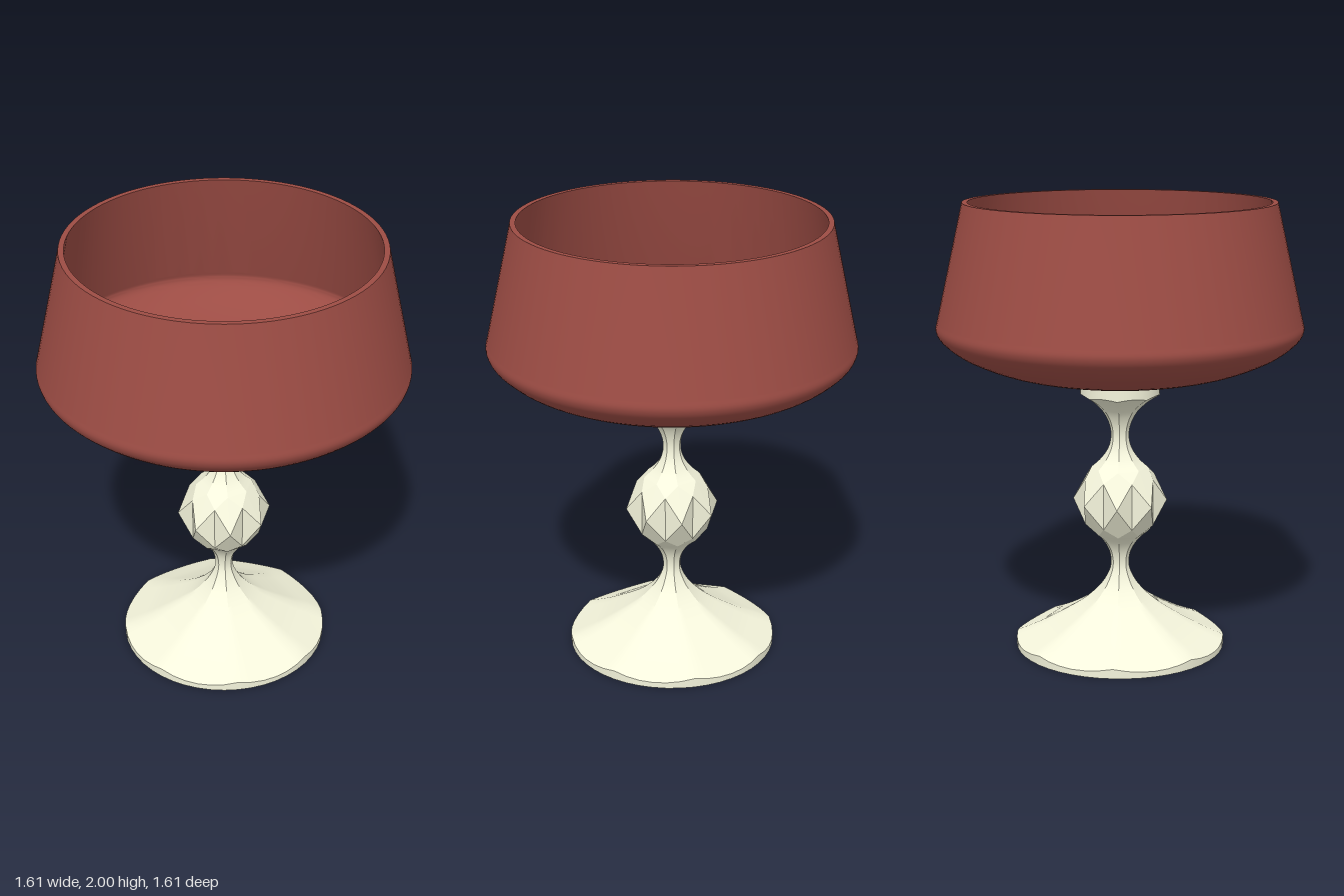
import * as THREE from 'three';
import { toCreasedNormals } from 'three/addons/utils/BufferGeometryUtils.js';

const SIDES = 8, SUB = 6, STEP = (Math.PI * 2) / SIDES;
const APOTHEM = Math.cos(STEP / 2);

const spline = (pts, n) =>
  new THREE.SplineCurve(pts.map(([r, y]) => new THREE.Vector2(r, y))).getPoints(n);

// Ring types: each maps c (cosine of the angle from the facet middle) to [radius, height]
const octagon = (R, y) => (c) => [(R * APOTHEM) / c, y];
const circle = (R, y) => () => [R, y];
// Where a round edge of radius R cuts the octagonal flare, giving the scalloped line
const scallop = (R, y, slope) => (c) => [R, y + slope * ((R * c) / APOTHEM - R)];

// Skin over rings listed from bottom to top
function skin(rings) {
  const n = SIDES * SUB, pos = [], idx = [];
  rings.forEach((ring, j) => {
    for (let i = 0; i < n; i++) {
      const a = (i / SUB) * STEP;
      const [r, y] = ring(Math.cos(((i % SUB) / SUB - 0.5) * STEP));
      pos.push(r * Math.sin(a), y, r * Math.cos(a));
      if (j === 0) continue;
      const k = (i + 1) % n, lo = (j - 1) * n, hi = j * n;
      idx.push(lo + i, lo + k, hi + k, lo + i, hi + k, hi + i);
    }
  });
  const g = new THREE.BufferGeometry();
  g.setAttribute('position', new THREE.Float32BufferAttribute(pos, 3));
  g.setIndex(idx);
  return toCreasedNormals(g, 0.5);
}

// Cut knop: flat kites above and below, with notched diamonds between them
function knopGeometry() {
  const pos = [], mid = 0.674;
  const at = (r, y, turn) => [r * Math.sin(turn * STEP), y, r * Math.cos(turn * STEP)];
  const tri = (flip, a, b, c) => pos.push(...a, ...(flip ? c : b), ...(flip ? b : c));
  for (let i = 0; i < SIDES; i++) {
    const wide = at(0.21, mid, i), wideNext = at(0.21, mid, i + 1);
    const low = at(0.163, mid - 0.104, i + 0.5), high = at(0.163, mid + 0.104, i + 0.5);
    tri(false, low, wideNext, high);
    tri(false, low, high, wide);
    for (const s of [1, -1]) {
      const end = at(0.126, mid + s * 0.149, i), endNext = at(0.126, mid + s * 0.149, i + 1);
      const v = at(0.163, mid + s * 0.104, i + 0.5), vPrev = at(0.163, mid + s * 0.104, i - 0.5);
      tri(s < 0, wide, v, end);
      tri(s < 0, wide, end, vPrev);
      tri(s < 0, end, v, endNext);
    }
  }
  const g = new THREE.BufferGeometry();
  g.setAttribute('position', new THREE.Float32BufferAttribute(pos, 3));
  g.computeVertexNormals();
  return g;
}

export function createModel() {
  const group = new THREE.Group();
  const cream = new THREE.MeshStandardMaterial({ color: 0xf5f5dc });
  const red = new THREE.MeshStandardMaterial({ color: 0x9c4c44 });
  const add = (name, geometry, material) => {
    const mesh = new THREE.Mesh(geometry, material);
    mesh.name = name;
    group.add(mesh);
  };

  // Round foot sweeping up into the lower octagonal neck
  const lower = spline([[0.42, 0.064], [0.33, 0.106], [0.175, 0.195], [0.09, 0.27], [0.05, 0.335],
    [0.04, 0.385], [0.052, 0.44], [0.085, 0.49], [0.126, 0.525]], 28);
  add('footAndLowerStem', skin([
    circle(0, 0), circle(0.47, 0), scallop(0.47, 0.043, -0.45),
    ...lower.map((p) => octagon(p.x, p.y)),
  ]), cream);

  add('knop', knopGeometry(), cream);

  // Upper octagonal neck flaring into the round collar, whose top shows in the bowl
  const upper = spline([[0.126, 0.823], [0.085, 0.86], [0.052, 0.91], [0.04, 0.965],
    [0.049, 1.02], [0.078, 1.075], [0.12, 1.115], [0.16, 1.142]], 24);
  add('upperStemAndCollar', skin([
    ...upper.map((p) => octagon(p.x, p.y)),
    scallop(0.176, 1.151, 0.6), circle(0.176, 1.25), circle(0, 1.25),
  ]), cream);

  // Bowl: curved underside, inward-leaning wall, flat rim and hollow inside
  const outer = spline([[0, 1.215], [0.18, 1.22], [0.36, 1.24], [0.54, 1.28], [0.69, 1.342],
    [0.775, 1.405], [0.802, 1.45], [0.796, 1.49]], 32);
  const inner = spline([[0.773, 1.485], [0.778, 1.455], [0.755, 1.42], [0.675, 1.362],
    [0.53, 1.304], [0.355, 1.264], [0.18, 1.245], [0, 1.24]], 32);
  const profile = [...outer, new THREE.Vector2(0.68, 2), new THREE.Vector2(0.656, 2), ...inner];
  add('bowl', toCreasedNormals(new THREE.LatheGeometry(profile, 96), 0.6), red);

  return group;
}
